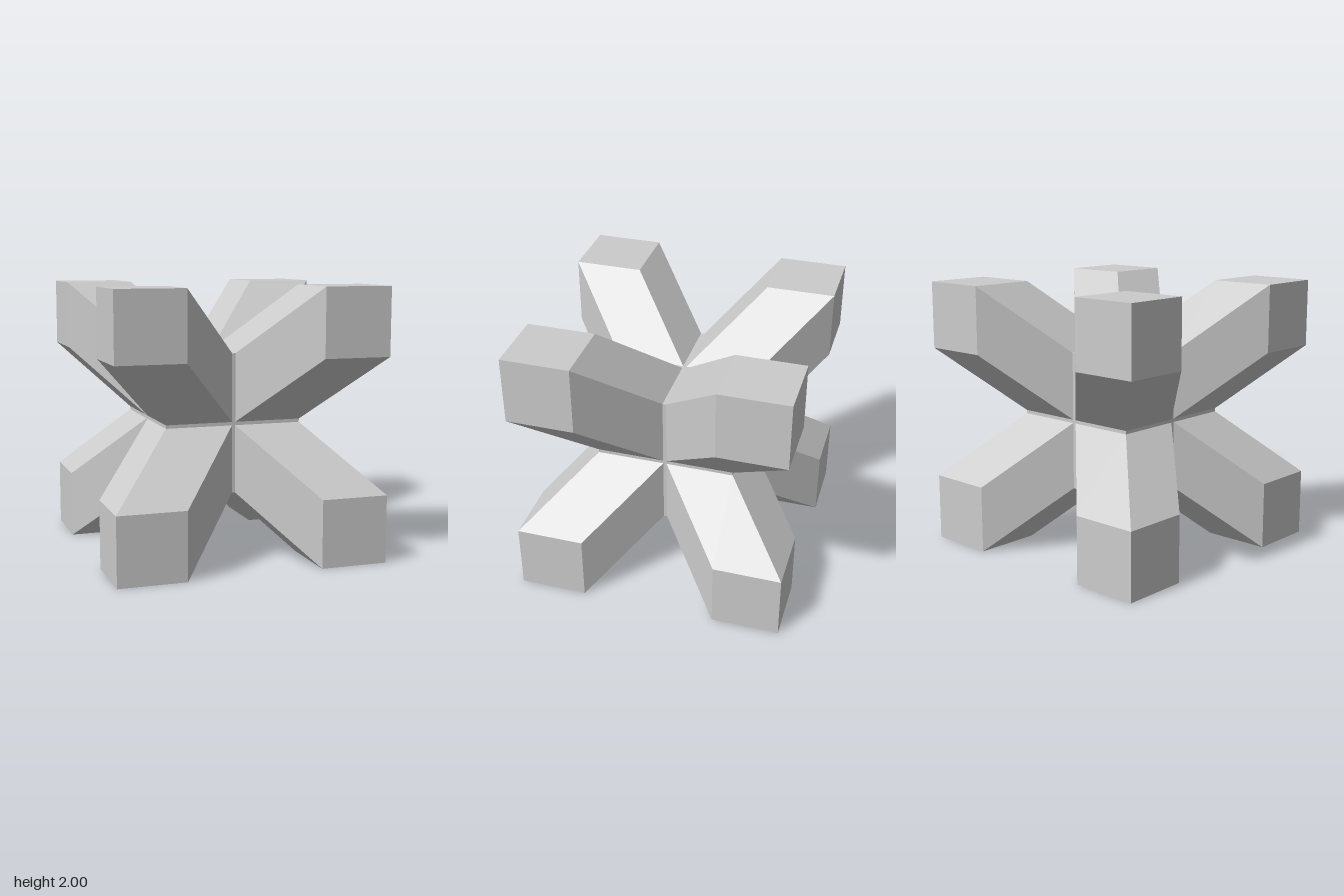
import * as THREE from 'three';
import { ConvexGeometry } from 'three/addons/geometries/ConvexGeometry.js';

const SIDE = 0.5;   // width of each cube that is swept along a diagonal
const GAP = 0.0125; // half the width of the seam between arms

// A cube swept along the diagonal of one octant, from the centre to the corner
function armGeometry(sx, sy, sz) {
  const points = [];
  for (const start of [GAP, 1 - SIDE]) {
    for (const x of [start, start + SIDE])
      for (const y of [start, start + SIDE])
        for (const z of [start, start + SIDE])
          points.push(new THREE.Vector3(sx * x, sy * y, sz * z));
  }
  return new ConvexGeometry(points);
}

export function createModel() {
  const model = new THREE.Group();
  model.name = 'eightArmedCross';
  const material = new THREE.MeshStandardMaterial({ color: 0xcccccc, flatShading: true });

  const add = (name, geometry) => {
    const mesh = new THREE.Mesh(geometry, material);
    mesh.name = name;
    mesh.position.y = 1;
    model.add(mesh);
  };

  // Core that fills the thin seams between the arms
  const coreSize = 2 * (GAP + SIDE);
  add('core', new THREE.BoxGeometry(coreSize, coreSize, coreSize));

  // One arm towards each corner
  for (const sy of [1, -1])
    for (const sz of [1, -1])
      for (const sx of [1, -1]) {
        const name = (sy > 0 ? 'upper' : 'lower') + (sz > 0 ? 'Front' : 'Back') + (sx > 0 ? 'Left' : 'Right') + 'Arm';
        add(name, armGeometry(sx, sy, sz));
      }

  return model;
}
